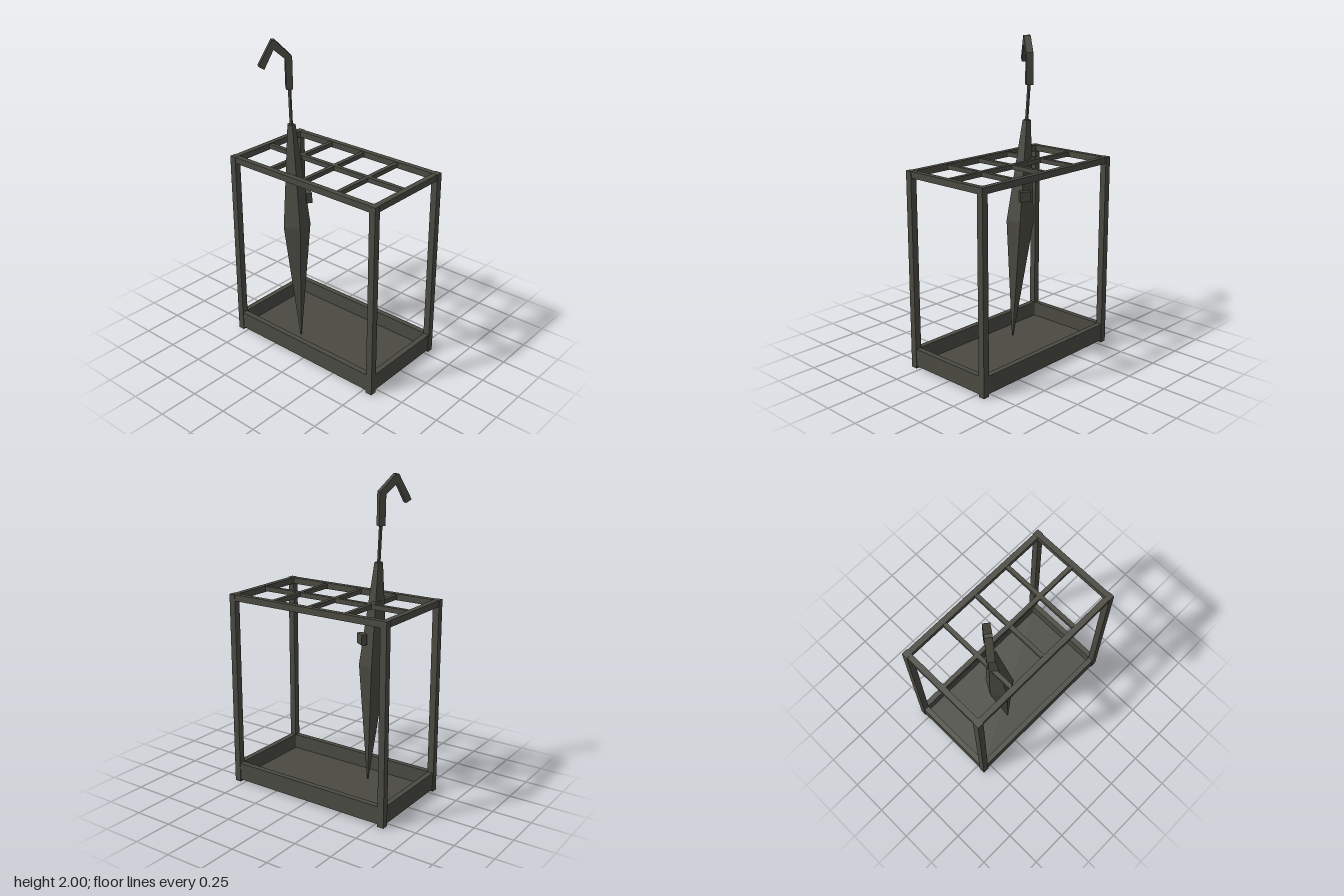
import * as THREE from 'three';

const metal = new THREE.MeshStandardMaterial({ color: 0x4a4a42 });
metal.name = 'dark grey';

const W = 0.57, D = 0.317, H = 1.255, POST = 0.042;

function add(parent, name, geometry, x = 0, y = 0, z = 0) {
  const mesh = new THREE.Mesh(geometry, metal);
  mesh.name = name;
  mesh.position.set(x, y, z);
  parent.add(mesh);
  return mesh;
}
const box = (parent, name, w, h, d, x, y, z) =>
  add(parent, name, new THREE.BoxGeometry(w, h, d), x, y, z);

function roundedRect(Path, w, d, r) {
  const p = new Path();
  p.moveTo(-w + r, -d);
  p.lineTo(w - r, -d);
  p.quadraticCurveTo(w, -d, w, -d + r);
  p.lineTo(w, d - r);
  p.quadraticCurveTo(w, d, w - r, d);
  p.lineTo(-w + r, d);
  p.quadraticCurveTo(-w, d, -w, d - r);
  p.lineTo(-w, -d + r);
  p.quadraticCurveTo(-w, -d, -w + r, -d);
  return p;
}

function createStand() {
  const stand = new THREE.Group();
  stand.name = 'stand';
  // Four corner posts
  for (const sx of [-1, 1]) for (const sz of [-1, 1])
    box(stand, 'post', POST, H, POST, sx * (W - POST / 2), H / 2, sz * (D - POST / 2));

  // Top frame, set slightly in from the posts
  for (const s of [-1, 1]) {
    box(stand, 'longRail', 2 * (W - POST), 0.04, 0.036, 0, H - 0.021, s * (D - 0.022));
    box(stand, 'shortRail', 0.036, 0.04, 2 * (D - POST), s * (W - 0.022), H - 0.021, 0);
  }
  // Divider grid
  box(stand, 'centreDivider', 1.06, 0.03, 0.027, 0, H - 0.021, -0.002);
  for (const x of [-0.263, 0, 0.263])
    box(stand, 'crossDivider', 0.027, 0.028, 0.555, x, H - 0.021, -0.002);

  // Drip tray
  const shape = new THREE.Shape();
  const w = W - 0.004, d = D - 0.004;
  shape.moveTo(-w, -d);
  shape.lineTo(w, -d);
  shape.lineTo(w, d);
  shape.lineTo(-w, d);
  shape.holes.push(roundedRect(THREE.Path, W - 0.04, D - 0.04, 0.015));
  const wall = new THREE.ExtrudeGeometry(shape, { depth: 0.113, bevelEnabled: false, curveSegments: 4 });
  wall.rotateX(-Math.PI / 2);
  add(stand, 'trayWall', wall, 0, 0.015, 0);
  box(stand, 'trayFloor', 2 * (W - 0.03), 0.014, 2 * (D - 0.03), 0, 0.024, 0);
  return stand;
}

// Leaning umbrella axis at height y
const axis = (y) => new THREE.Vector3(-0.168 - 0.06 * (y - 0.13), y, 0.14 - 0.027 * (y - 0.13));

// Faceted prism through [height, radius] rings along the leaning axis
function leaningLoft(rings, sides, start) {
  const pos = [];
  const ring = ([y, r]) => Array.from({ length: sides }, (_, i) => {
    const a = start + (i / sides) * Math.PI * 2;
    return axis(y).add(new THREE.Vector3(Math.cos(a) * r, 0, Math.sin(a) * r));
  });
  const tri = (...points) => points.forEach((p) => pos.push(p.x, p.y, p.z));
  const loops = rings.map(ring);
  const last = loops.length - 1;
  for (let i = 0; i < sides; i++) {
    const j = (i + 1) % sides;
    for (let k = 0; k < last; k++) {
      const a = loops[k][i], b = loops[k][j], c = loops[k + 1][j], d = loops[k + 1][i];
      tri(a, d, c);
      tri(a, c, b);
    }
    tri(axis(rings[0][0]), loops[0][i], loops[0][j]);
    tri(axis(rings[last][0]), loops[last][j], loops[last][i]);
  }
  const g = new THREE.BufferGeometry();
  g.setAttribute('position', new THREE.Float32BufferAttribute(pos, 3));
  g.computeVertexNormals();
  return g;
}

function createUmbrella() {
  const umbrella = new THREE.Group();
  umbrella.name = 'umbrella';
  const start = Math.PI / 6;
  add(umbrella, 'foldedCanopy',
    leaningLoft([[0.032, 0.005], [0.83, 0.092], [1.48, 0.027]], 5, start));
  add(umbrella, 'shaft', leaningLoft([[1.45, 0.011], [1.72, 0.011]], 5, start));

  // Angular hooked handle: outline in its own plane, turned outward
  const outline = [[-0.02, 1.7], [0.02, 1.7], [0.022, 1.885], [0.09, 1.945],
    [0.147, 1.83], [0.181, 1.85], [0.1, 2.0], [0.08, 2.0], [-0.018, 1.9]];
  const hook = new THREE.ExtrudeGeometry(
    new THREE.Shape(outline.map(([u, v]) => new THREE.Vector2(u, v))),
    { depth: 0.044, bevelEnabled: false });
  hook.translate(0, 0, -0.022);
  add(umbrella, 'handle', hook, -0.264, 0, 0.097).rotation.y = Math.atan2(-0.79, -0.61);

  // Strap fastener on the back of the canopy
  box(umbrella, 'strap', 0.068, 0.066, 0.036, -0.172, 1.005, 0.046).rotation.y = -0.56;
  return umbrella;
}

export function createModel() {
  const model = new THREE.Group();
  model.name = 'umbrellaStand';
  model.add(createStand(), createUmbrella());
  return model;
}
